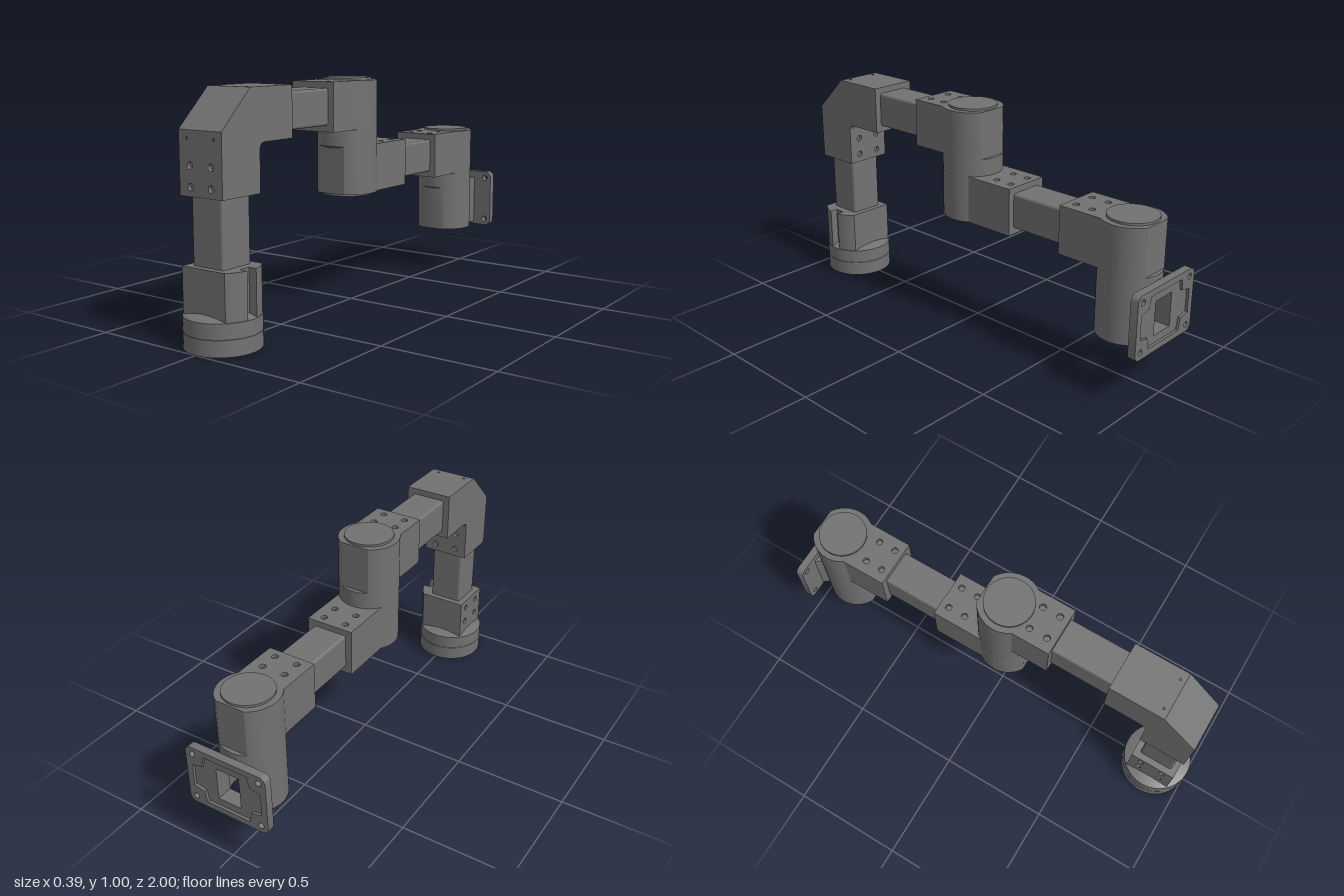
import * as THREE from 'three';
import { toCreasedNormals } from 'three/addons/utils/BufferGeometryUtils.js';
import { RoundedBoxGeometry } from 'three/addons/geometries/RoundedBoxGeometry.js';

const metal = new THREE.MeshStandardMaterial({ color: 0x727272 });
metal.name = 'grey metal';
const dark = new THREE.MeshStandardMaterial({ color: 0x4c4c4c });
dark.name = 'dark hole';

const W = 0.108;      // half width of the housings
const R = 0.132;      // joint radius
const BASE_Z = 0.845, ELBOW_Z = 0.03, WRIST_Z = -0.825;

export function createModel() {
  const root = new THREE.Group();
  root.name = 'robotArm';

  const add = (name, geo, x = 0, y = 0, z = 0, mat = metal) => {
    const mesh = new THREE.Mesh(geo, mat);
    mesh.name = name;
    mesh.position.set(x, y, z);
    root.add(mesh);
    return mesh;
  };
  const extrude = (shape, depth) => toCreasedNormals(
    new THREE.ExtrudeGeometry(shape, { depth, bevelEnabled: false, curveSegments: 24 }), 0.5);
  const lathe = (pts) => toCreasedNormals(
    new THREE.LatheGeometry(pts.map((p) => new THREE.Vector2(...p)), 64), 0.4);
  const shapeOf = (pts) => new THREE.Shape(pts.map((p) => new THREE.Vector2(...p)));
  const pathOf = (pts) => new THREE.Path(pts.map((p) => new THREE.Vector2(...p)));
  const rect = (x, y0, y1) => [[-x, y0], [x, y0], [x, y1], [-x, y1]];
  const arc = (r, a0, a1, n = 24) => Array.from({ length: n + 1 }, (_, i) => {
    const a = a0 + (a1 - a0) * i / n;
    return [r * Math.cos(a), r * Math.sin(a)];
  });
  const drill = (shape, r, xs, ys) => {
    for (const x of xs) for (const y of ys) {
      shape.holes.push(new THREE.Path().absarc(x, y, r, 0, Math.PI * 2, true));
    }
    return shape;
  };
  // Horizontal slab: shape y becomes z, top surface at yTop
  const slab = (name, shape, yTop, h, z, turned = false) => {
    const geo = extrude(shape, h).rotateX(Math.PI / 2);
    if (turned) geo.rotateY(Math.PI);
    return add(name, geo, 0, yTop, z);
  };
  // Thin cover with four screw holes
  const cover = (w, y0, y1) => extrude(
    drill(shapeOf(rect(w, y0, y1)), 0.014, [-0.053, 0.053], [-0.04, 0.04]), 0.015);

  // ---- Base ----
  add('baseFlange', lathe([
    [0, 0.1], [0.1, 0.1], [0.1, 0], [0.118, 0], [0.118, 0.018], [0.138, 0.018], [0.138, 0],
    [0.155, 0], [0.155, 0.066], [0.153, 0.067], [0.155, 0.068], [0.155, 0.13],
    [0.105, 0.146], [0, 0.146],
  ]), 0, 0, BASE_Z);
  for (let i = 0; i < 8; i++) {
    const a = (i + 0.5) * Math.PI / 4;
    add('flangeBolt', new THREE.BoxGeometry(0.022, 0.016, 0.02),
      0.128 * Math.cos(a), 0.012, BASE_Z + 0.128 * Math.sin(a)).rotation.y = -a;
  }
  add('baseHousing', new THREE.BoxGeometry(2 * W - 0.015, 0.2, 0.21), 0.0075, 0.22, BASE_Z);
  add('baseCover', cover(0.105, -0.12, 0.08).rotateY(-Math.PI / 2), -W + 0.015, 0.24, BASE_Z);
  const slotA = Math.asin(0.025 / 0.152), edgeA = Math.asin(0.105 / 0.152);
  slab('baseBoss', shapeOf([
    [0.1, -0.105], ...arc(0.152, -edgeA, -slotA, 12), [0.114, -0.025],
    [0.114, 0.025], ...arc(0.152, slotA, edgeA, 12), [0.1, 0.105],
  ]), 0.32, 0.2, BASE_Z);
  for (const y of [0.2, 0.28]) {
    add('slotHole', new THREE.CylinderGeometry(0.014, 0.014, 0.004, 20).rotateZ(Math.PI / 2),
      0.114, y, BASE_Z, dark);
  }

  // ---- Square tubes ----
  const tube = (name, w, h, d, y, z) =>
    add(name, new RoundedBoxGeometry(w, h, d, 3, 0.012), 0, y, z);
  tube('uprightTube', 0.158, 0.33, 0.156, 0.455, BASE_Z);
  tube('upperArmTube', 0.158, 0.156, 0.33, 0.89, 0.41);
  tube('forearmTube', 0.158, 0.156, 0.33, 0.607, -0.415);

  // ---- Bent shoulder: side profile with recesses for the covers ----
  const bend = shapeOf([
    [0.935, 0.59], [0.935, 0.744], [0.95, 0.744], [0.95, 0.84], [0.79, 0.995],
    [0.545, 0.995], [0.545, 0.8], [0.699, 0.8], [0.699, 0.785], [0.71, 0.785],
  ]);
  bend.quadraticCurveTo(0.74, 0.785, 0.74, 0.755);
  for (const p of [[0.74, 0.744], [0.755, 0.744], [0.755, 0.59]]) bend.lineTo(...p);
  add('shoulder', extrude(bend, 2 * W).rotateY(-Math.PI / 2), W);
  add('shoulderFrontCover', cover(W, -0.077, 0.077), 0, 0.667, 0.935);
  add('shoulderBackCover', cover(W, -0.077, 0.077), 0, 0.667, 0.74);
  add('shoulderUnderCover', cover(W, -0.077, 0.077).rotateX(Math.PI / 2), 0, 0.8, 0.622);
  for (const x of [-0.068, 0.068]) {
    const pin = () => new THREE.CylinderGeometry(0.006, 0.006, 0.004, 12);
    add('shoulderPin', pin(), x, 0.995, 0.765, dark);
    add('shoulderPin', pin().rotateX(Math.PI / 2), x, 0.81, 0.95, dark);
  }

  // ---- Joint housings: square arm socket running into a round, flat-nosed barrel ----
  const joint = (name, yTop, height, z, arm, turned, capOnTop) => {
    const a0 = Math.acos(W / R), a1 = Math.asin(0.114 / R);
    const outline = [
      [W, arm], [-W, arm],
      ...arc(R, Math.PI - a0, Math.PI + a1),
      ...arc(R, -a1, a0),
    ];
    const skin = () => drill(shapeOf(outline), 0.014, [-0.053, 0.053], [arm - 0.12, arm - 0.04]);
    slab(name + 'TopCover', skin(), yTop, 0.015, z, turned);
    slab(name + 'Housing', shapeOf(outline), yTop - 0.015, height - 0.03, z, turned);
    slab(name + 'BottomCover', skin(), yTop - height + 0.015, 0.015, z, turned);
    add(name + 'Cap', new THREE.CylinderGeometry(0.106, 0.106, 0.02, 64), 0,
      capOnTop ? yTop : yTop - height, z);
  };
  joint('upperElbow', 0.995, 0.21, ELBOW_Z, 0.245, false, true);
  joint('lowerElbow', 0.712, 0.21, ELBOW_Z, 0.31, true, false);
  joint('wrist', 0.712, 0.21, WRIST_Z, 0.278, false, true);

  // Collars between the turning parts, with a conical lower edge
  const collar = (name, y, z) => add(name, lathe([
    [0, -0.012], [W, -0.012], [R, 0], [R, 0.076], [0, 0.076],
  ]), 0, y, z);
  collar('elbowCollar', 0.711, ELBOW_Z);
  collar('wristCollar', 0.428, WRIST_Z);

  // ---- Tool barrel: hollow, flat in front, open towards the plate ----
  const h = Math.PI / 2, gapOut = Math.asin(0.055 / R), gapIn = Math.asin(0.055 / W);
  slab('toolBarrel', shapeOf([
    ...arc(R, -h + gapOut, h - gapOut),
    ...arc(R, h + gapOut, 3 * h - gapOut),
    ...arc(W, 3 * h - gapIn, -h + gapIn, 48),
  ]), 0.43, 0.215, WRIST_Z);

  // Flared neck with a rectangular passage
  const opening = rect(0.055, 0.27, 0.42);
  const neckShape = shapeOf(rect(0.1, 0.22, 0.455));
  neckShape.holes.push(pathOf(opening));
  const neck = new THREE.ExtrudeGeometry(neckShape, { depth: 0.045, bevelEnabled: false });
  const pos = neck.attributes.position;
  for (let i = 0; i < pos.count; i++) {
    const x = pos.getX(i);
    if (pos.getZ(i) > 0.02 && Math.abs(x) > 0.06) pos.setX(i, Math.sign(x) * 0.066);
  }
  neck.computeVertexNormals();
  add('toolNeck', neck, 0, 0, -0.965);

  // Mounting plate: drilled base layer and a raised rim around a recess
  const plateShape = () => {
    const s = new THREE.Shape(), x = 0.193, y0 = 0.21, y1 = 0.488, r = 0.028;
    s.absarc(x - r, y0 + r, r, -h, 0);
    s.absarc(x - r, y1 - r, r, 0, h);
    s.absarc(-x + r, y1 - r, r, h, 2 * h);
    s.absarc(-x + r, y0 + r, r, 2 * h, 3 * h);
    return drill(s, 0.013, [-0.16, 0.16], [0.242, 0.456]);
  };
  const plate = plateShape();
  plate.holes.push(pathOf(opening));
  add('mountingPlate', extrude(plate, 0.023), 0, 0, -0.988);
  const rim = plateShape();
  rim.holes.push(pathOf([
    [0.105, 0.112], [0.115, 0.062], [0.165, 0.052], [0.165, -0.052], [0.115, -0.062], [0.105, -0.112],
    [-0.105, -0.112], [-0.115, -0.062], [-0.165, -0.052], [-0.165, 0.052], [-0.115, 0.062], [-0.105, 0.112],
  ].map(([x, y]) => [x, y + 0.349])));
  add('mountingRim', extrude(rim, 0.012), 0, 0, -1);

  return root;
}
